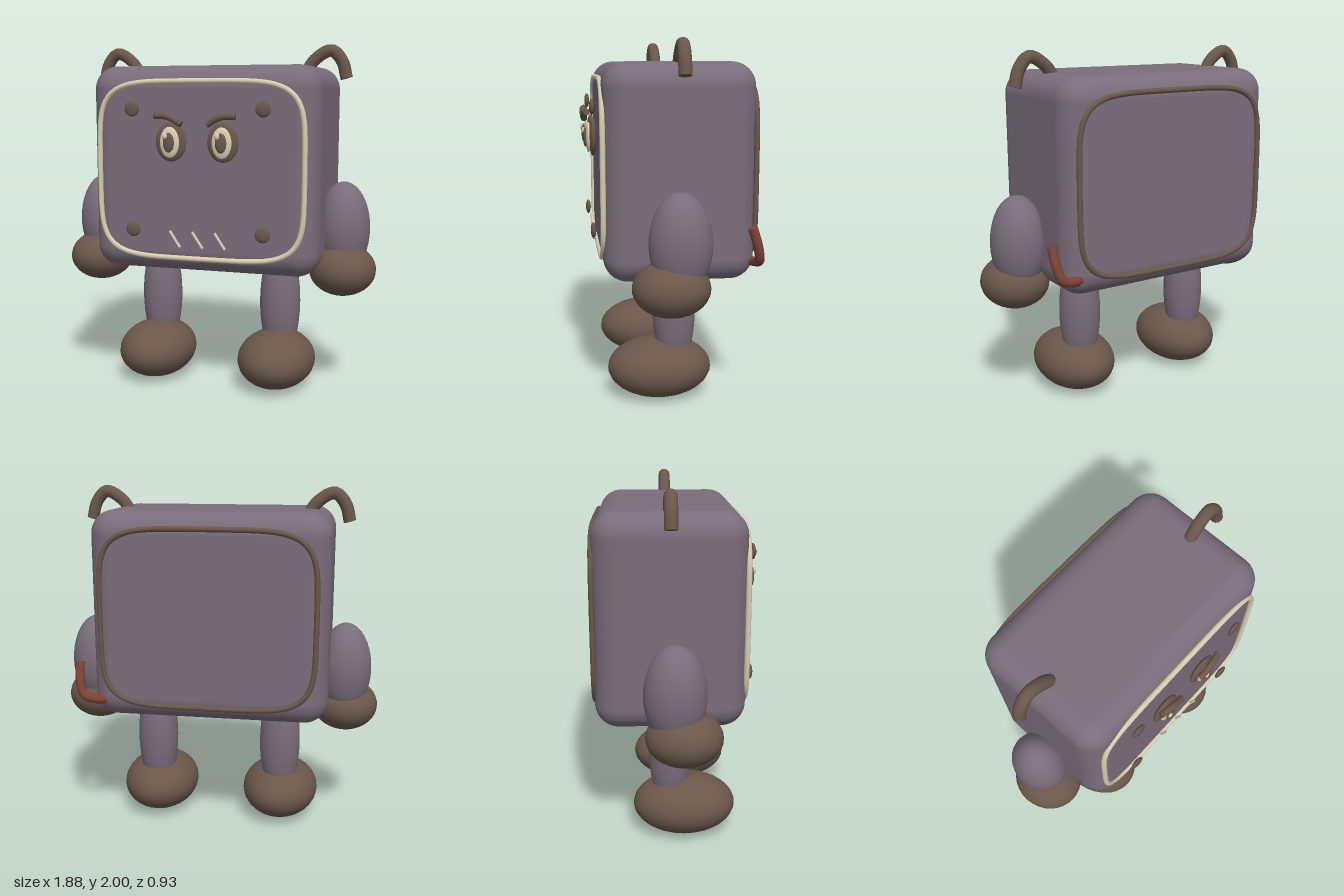
import * as THREE from 'three';
import { RoundedBoxGeometry } from 'three/addons/geometries/RoundedBoxGeometry.js';

const mat = (name, color) => Object.assign(new THREE.MeshStandardMaterial({ color }), { name });

export function createModel() {
  const hide = mat('mauve grey', 0x7a6d7b);
  const brown = mat('brown', 0x6b574b);
  const cream = mat('cream', 0xdacfb2);
  const rust = mat('rust red', 0x7d4338);
  const model = new THREE.Group();
  model.name = 'boxCreature';

  const add = (name, geometry, material, parent = model) => {
    const mesh = new THREE.Mesh(geometry, material);
    mesh.name = name;
    parent.add(mesh);
    return mesh;
  };
  const ellipsoid = (name, material, pos, radii, parent) => {
    const mesh = add(name, new THREE.SphereGeometry(1, 32, 20), material, parent);
    mesh.position.set(...pos);
    mesh.scale.set(...radii);
    return mesh;
  };
  // Round rod along a smooth path, closed with flat discs
  const rod = (name, material, points, radius) => {
    const group = new THREE.Group();
    group.name = name;
    const curve = new THREE.CatmullRomCurve3(points.map(p => new THREE.Vector3(...p)));
    add(name + 'Tube', new THREE.TubeGeometry(curve, 24, radius, 12), material, group);
    for (const t of [0, 1]) {
      const cap = add(name + 'Cap', new THREE.CircleGeometry(radius, 12), material, group);
      const dir = curve.getTangentAt(t).multiplyScalar(t ? 1 : -1);
      cap.position.copy(curve.getPointAt(t));
      cap.quaternion.setFromUnitVectors(new THREE.Vector3(0, 0, 1), dir);
    }
    model.add(group);
    return group;
  };

  // Body
  add('body', new RoundedBoxGeometry(1.32, 1.16, 0.81, 8, 0.13), hide).position.set(0, 1.3, -0.035);

  // Trim rings: rounded squares around the front and back faces
  const ring = (name, material, z) => {
    const pts = [];
    const soft = v => Math.sign(v) * Math.abs(v) ** 0.4;
    for (let i = 0; i < 64; i++) {
      const a = ((i + 0.5) / 64) * Math.PI * 2;
      pts.push(new THREE.Vector3(0.592 * soft(Math.cos(a)), 1.3 + 0.492 * soft(Math.sin(a)), z));
    }
    add(name, new THREE.TubeGeometry(new THREE.CatmullRomCurve3(pts, true), 160, 0.015, 8, true), material);
  };
  ring('frontTrim', cream, 0.37);
  ring('backTrim', brown, -0.44);

  for (const s of [-1, 1]) {
    const side = s > 0 ? 'left' : 'right';
    // Limbs
    ellipsoid(side + 'Arm', hide, [s * 0.745, 0.96, -0.015], [0.152, 0.27, 0.166]);
    ellipsoid(side + 'Hand', brown, [s * 0.752, 0.732, 0.033], [0.19, 0.15, 0.205]);
    ellipsoid(side + 'Leg', hide, [s * 0.375, 0.5, -0.032], [0.12, 0.36, 0.12]);
    ellipsoid(side + 'Foot', brown, [s * 0.375, 0.173, 0.05], [0.226, 0.17, 0.292]);

    // Curled horn
    rod(side + 'Horn', brown, [[s * 0.5, 1.83, -0.035], [s * 0.565, 1.92, -0.035],
      [s * 0.655, 1.965, -0.035], [s * 0.715, 1.905, -0.035], [s * 0.742, 1.81, -0.035]], 0.035);

    // Eye in stacked lenses, with a glint on the same side of both
    const x = s * 0.149;
    ellipsoid(side + 'EyeSocket', brown, [x, 1.462, 0.4], [0.089, 0.108, 0.024]);
    ellipsoid(side + 'EyeWhite', cream, [x, 1.46, 0.425], [0.056, 0.085, 0.016]);
    ellipsoid(side + 'Pupil', brown, [x, 1.46, 0.442], [0.032, 0.054, 0.013]);
    ellipsoid(side + 'Glint', cream, [x - 0.018, 1.497, 0.453], [0.014, 0.018, 0.008]);

    // Brow
    rod(side + 'Brow', brown, [[s * 0.23, 1.605, 0.435], [s * 0.15, 1.6, 0.447], [s * 0.073, 1.56, 0.446]], 0.018);

    // Bolts
    for (const y of [0.97, 1.642]) {
      ellipsoid(side + 'Bolt', brown, [s * 0.375, y, 0.413], [0.043, 0.043, 0.015]);
    }
  }

  // Scratch marks
  for (const x of [-0.132, 0, 0.13]) {
    rod('scratch', cream, [[x - 0.03, 0.965, 0.4], [x, 0.92, 0.4], [x + 0.03, 0.875, 0.4]], 0.008);
  }

  // Tail
  rod('tail', rust, [[0.57, 0.83, -0.4], [0.63, 0.83, -0.432], [0.7, 0.855, -0.44],
    [0.727, 0.93, -0.425], [0.735, 1.035, -0.392]], 0.026);

  return model;
}
